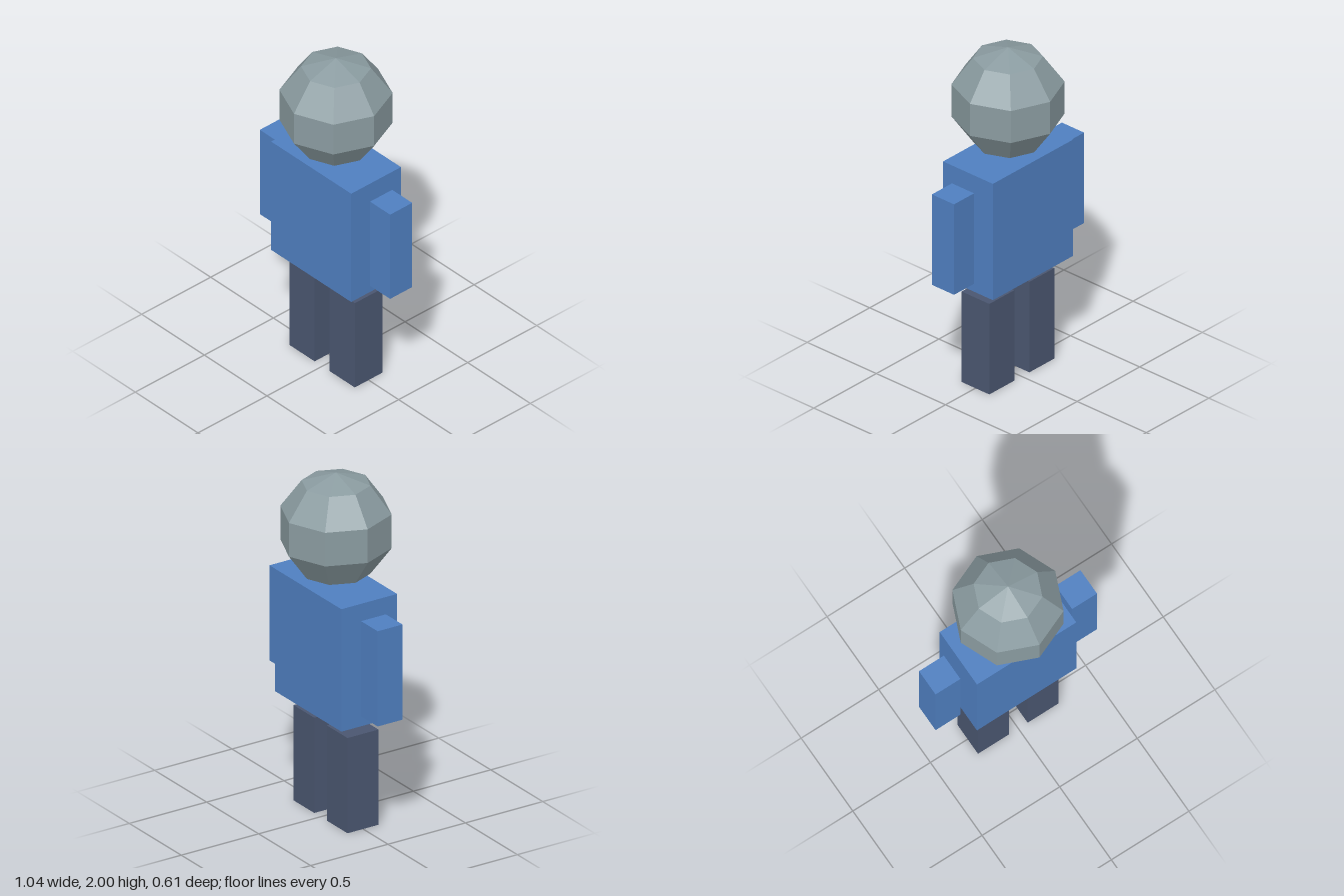
import * as THREE from 'three';

const material = (color) => new THREE.MeshStandardMaterial({ color, flatShading: true });

export function createModel() {
  const model = new THREE.Group();
  const skin = material(0x8a9ba0);
  const shirt = material(0x4f7fc0);
  const trousers = material(0x4a5670);

  const add = (name, geometry, mat, x, y) => {
    const mesh = new THREE.Mesh(geometry, mat);
    mesh.name = name;
    mesh.position.set(x, y, 0);
    model.add(mesh);
  };

  // Low-poly head resting on the torso
  add('head', new THREE.SphereGeometry(0.32, 8, 5), skin, 0, 1.68);
  add('torso', new THREE.BoxGeometry(0.64, 0.72, 0.36), shirt, 0, 1.0);

  // Mirrored limbs, set slightly apart from the torso
  const arm = new THREE.BoxGeometry(0.16, 0.56, 0.16);
  const leg = new THREE.BoxGeometry(0.2, 0.56, 0.2);
  for (const [side, sign] of [['left', 1], ['right', -1]]) {
    add(side + 'Arm', arm, shirt, sign * 0.44, 1.0);
    add(side + 'Leg', leg, trousers, sign * 0.16, 0.28);
  }
  return model;
}
